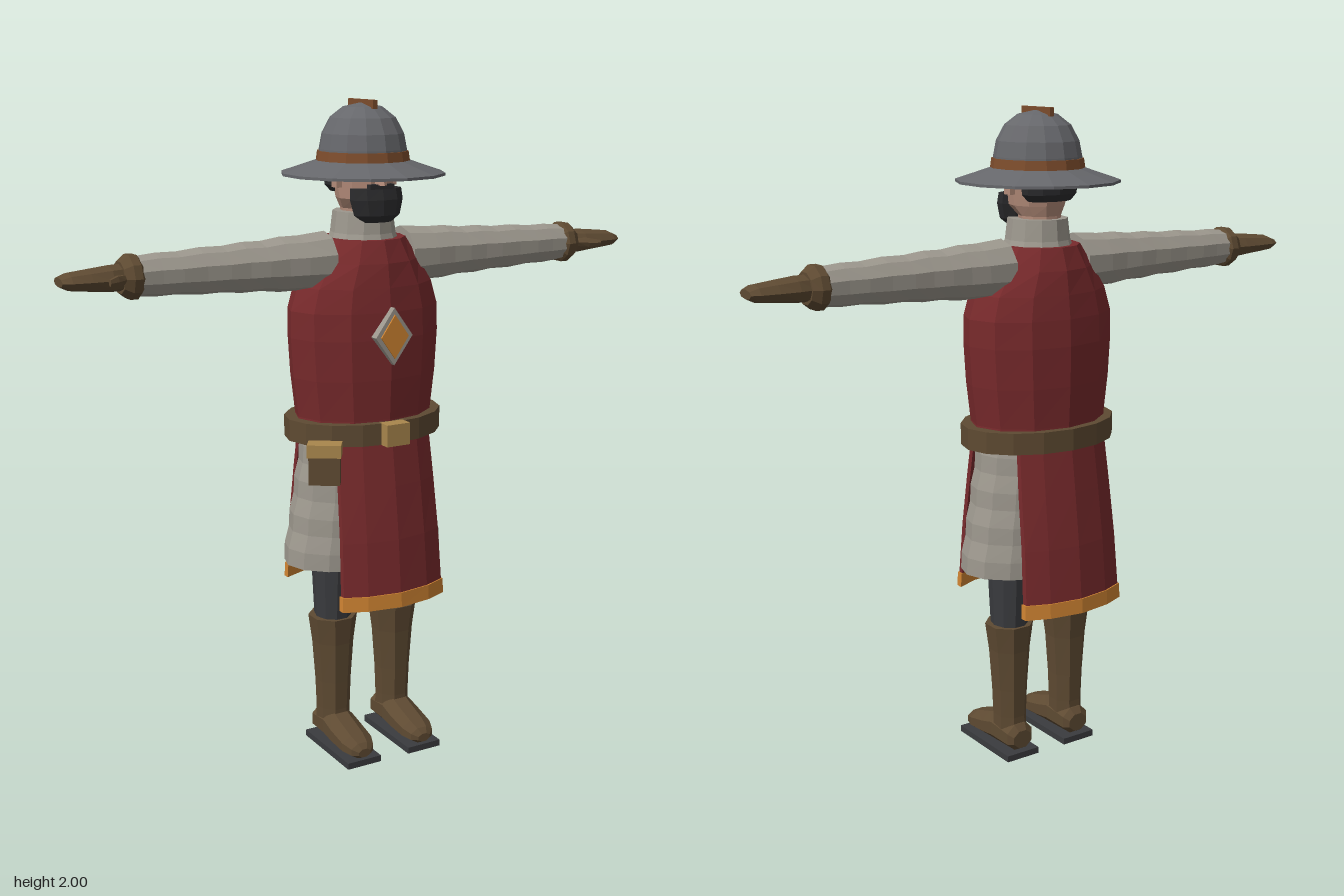
import * as THREE from 'three';

const mat = (name, color, extra = {}) => Object.assign(
  new THREE.MeshStandardMaterial({ color, flatShading: true, ...extra }), { name });

// Skin over rings of points that run counterclockwise seen from above, lowest ring first
function loft(rings, capped = true) {
  const n = rings[0].length, idx = [];
  const quad = (a, b, c, d) => idx.push(a, b, c, a, c, d);
  for (let j = 0; j < rings.length - 1; j++)
    for (let i = 0; i < n; i++) {
      const k = (i + 1) % n;
      quad(j * n + i, j * n + k, (j + 1) * n + k, (j + 1) * n + i);
    }
  const t = (rings.length - 1) * n;
  if (capped) for (let i = 0; i < n / 2 - 1; i++) {
    quad(t + i, t + i + 1, t + n - 2 - i, t + n - 1 - i);
    quad(n - 1 - i, n - 2 - i, i + 1, i);
  }
  const g = new THREE.BufferGeometry();
  g.setAttribute('position', new THREE.Float32BufferAttribute(rings.flat(2), 3));
  g.setIndex(idx);
  g.computeVertexNormals();
  return g;
}

// Elliptical ring: height, half width, half depth, centre x and z
const ellipse = (sides, phase = 0) => ([y, rx, rz, cx = 0, cz = 0]) =>
  Array.from({ length: sides }, (_, i) => {
    const a = (i + phase) / sides * Math.PI * 2;
    return [cx + Math.sin(a) * rx, y, cz + Math.cos(a) * rz];
  });
const tube = (sides, sections, phase = 0, capped = true) =>
  loft(sections.map(ellipse(sides, phase)), capped);

// Curved cloth slab ring: height, half width, outer edge z, middle z, thickness
const arc = ([y, w, zEdge, zMid, th]) => {
  const us = [-1, -0.6, 0, 0.6, 1];
  const line = d => us.map(u => [u * w, y, zMid + (zEdge - zMid) * u * u - d]);
  return [...line(0), ...line(th).reverse()];
};

export function createModel() {
  const model = new THREE.Group();
  const steel = mat('steel', 0x66676b), band = mat('rust leather', 0x7c4c2c),
    skin = mat('skin', 0xb48c7a), dark = mat('dark hair', 0x2b2b2d),
    mail = mat('mail', 0x9c978d, { side: THREE.DoubleSide }), red = mat('red cloth', 0x782a2c),
    leather = mat('brown leather', 0x5e4a32), tan = mat('tan leather', 0xa9864c),
    orange = mat('orange trim', 0xd08432), trouser = mat('dark trousers', 0x3a3b3e);
  const add = (name, geo, m, x = 0, y = 0, z = 0) => {
    const mesh = new THREE.Mesh(geo, m);
    mesh.name = name;
    mesh.position.set(x, y, z);
    model.add(mesh);
    return mesh;
  };
  const box = (w, h, d) => new THREE.BoxGeometry(w, h, d);

  // Wide brimmed helmet
  const hat = [[0.09, 1.8], [0.25, 1.785], [0.25, 1.793], [0.19, 1.812], [0.136, 1.83], [0.134, 1.86],
    [0.125, 1.905], [0.1, 1.95], [0.06, 1.98], [0, 1.993]].map(p => new THREE.Vector2(...p));
  add('helmet', new THREE.LatheGeometry(hat, 14), steel).scale.x = 0.96;
  add('helmetBand', tube(14, [[1.822, 0.138, 0.145], [1.855, 0.133, 0.14]]), band);
  add('helmetRidge', box(0.014, 0.025, 0.145), band, 0, 1.988, 0);

  // Head, hair and beard
  add('head', tube(10, [[1.6, 0.06, 0.062, 0, -0.015], [1.69, 0.062, 0.065, 0, -0.01],
    [1.72, 0.08, 0.09, 0, 0.005], [1.78, 0.088, 0.1], [1.84, 0.088, 0.1]], 0.5), skin);
  add('hair', tube(10, [[1.735, 0.072, 0.04, 0, -0.06], [1.755, 0.091, 0.052, 0, -0.06],
    [1.82, 0.093, 0.052, 0, -0.06]]), dark);
  add('beard', tube(10, [[1.655, 0.045, 0.025, 0, 0.085], [1.675, 0.073, 0.04, 0, 0.083],
    [1.72, 0.085, 0.044, 0, 0.08], [1.752, 0.083, 0.04, 0, 0.075]]), dark);
  add('moustache', box(0.08, 0.014, 0.02), dark, 0, 1.758, 0.105);
  add('nose', tube(6, [[1.762, 0.017, 0.022, 0, 0.105], [1.8, 0.01, 0.012, 0, 0.098]]), skin);
  for (const s of [-1, 1]) {
    add('ear', box(0.018, 0.045, 0.03), skin, s * 0.093, 1.775, 0.01);
    add('eye', box(0.022, 0.01, 0.006), dark, s * 0.036, 1.787, 0.094);
  }

  // Mail collar and surcoat
  add('collar', tube(12, [[1.58, 0.11, 0.115], [1.62, 0.095, 0.102], [1.682, 0.087, 0.096]]), mail);
  add('surcoat', tube(12, [[1.02, 0.225, 0.162], [1.08, 0.22, 0.162], [1.2, 0.235, 0.168],
    [1.32, 0.243, 0.17], [1.4, 0.242, 0.166], [1.47, 0.22, 0.158], [1.54, 0.17, 0.148],
    [1.605, 0.127, 0.125]]), red);

  // Chest emblem
  const diamond = (w, h, depth) => new THREE.ExtrudeGeometry(new THREE.Shape([[0, -h], [w, 0], [0, h], [-w, 0]]
    .map(p => new THREE.Vector2(...p))), { depth, bevelEnabled: false });
  add('emblemFrame', diamond(0.062, 0.085, 0.03), mail, 0, 1.332, 0.155);
  add('emblem', diamond(0.046, 0.065, 0.008), orange, 0, 1.332, 0.182);

  // Belt, buckle and pouch
  add('belt', tube(16, [[1.01, 0.252, 0.184], [1.075, 0.252, 0.184]]), leather);
  add('buckle', box(0.078, 0.066, 0.045), tan, 0, 1.043, 0.19);
  add('pouch', box(0.092, 0.09, 0.05), leather, -0.21, 0.953, 0.142).rotation.y = -0.585;
  add('pouchFlap', box(0.1, 0.038, 0.06), tan, -0.21, 1.011, 0.142).rotation.y = -0.585;

  // Rippled mail skirt
  const skirt = [];
  for (let i = 0; i <= 8; i++) {
    const t = i / 8, r = i % 2 ? 0.006 : 0;
    skirt.push([0.62 + 0.42 * t, 0.262 - 0.072 * t + r, 0.168 - 0.018 * t + r * 0.5]);
  }
  add('mailSkirt', tube(16, skirt, 0, false), mail);

  // Front and back cloth panels with trimmed hems
  for (const back of [false, true]) {
    const name = back ? 'back' : 'front';
    const panel = [[0.555, 0.172, 0.186, 0.23, 0.018], [0.72, 0.167, 0.172, 0.216, 0.018],
      [0.88, 0.162, 0.15, 0.196, 0.018], [1.03, 0.155, 0.13, 0.175, 0.018]];
    const hem = [[0.512, 0.178, 0.19, 0.236, 0.022], [0.557, 0.176, 0.188, 0.234, 0.022]];
    for (const [part, rings, m] of [['Panel', panel, red], ['Hem', hem, orange]])
      add(name + part, loft(rings.map(arc)), m).rotation.y = back ? Math.PI : 0;
  }

  for (const s of [-1, 1]) {
    // Arms are built upright, then laid out sideways
    const side = (name, sides, sections, m, phase) =>
      add(name, tube(sides, sections, phase).rotateZ(-s * Math.PI / 2), m, 0, 1.54, 0);
    side('sleeve', 10, [[0.13, 0.088, 0.09], [0.22, 0.08, 0.087], [0.28, 0.08, 0.08], [0.34, 0.072, 0.078],
      [0.4, 0.073, 0.072], [0.46, 0.066, 0.071], [0.53, 0.067, 0.066], [0.6, 0.06, 0.065],
      [0.66, 0.061, 0.06], [0.73, 0.055, 0.058]], mail, 0.5);
    side('cuff', 10, [[0.71, 0.048, 0.052], [0.722, 0.064, 0.066], [0.745, 0.064, 0.066],
      [0.768, 0.046, 0.05]], leather);
    side('glove', 8, [[0.75, 0.038, 0.043], [0.8, 0.037, 0.054, 0, 0.003], [0.86, 0.031, 0.053, 0, 0.003],
      [0.915, 0.025, 0.048, 0, 0.002], [0.94, 0.013, 0.036]], leather);
    side('thumb', 6, [[0.765, 0.014, 0.018, 0, 0.035], [0.795, 0.016, 0.016, 0, 0.06],
      [0.825, 0.01, 0.01, 0, 0.082]], leather);

    // Legs, boots and soles
    const x = s * 0.108;
    add('leg', tube(10, [[0.4, 0.055, 0.06], [0.62, 0.063, 0.075], [0.95, 0.08, 0.09]], 0.5), trouser, x);
    add('bootShaft', tube(8, [[0.06, 0.052, 0.058], [0.13, 0.052, 0.056], [0.22, 0.055, 0.06],
      [0.35, 0.065, 0.066], [0.435, 0.077, 0.075]], 0.5), leather, x);
    add('bootFoot', tube(8, [[-0.072, 0.035, 0.03, 0, -0.062], [-0.055, 0.05, 0.046, 0, -0.066],
      [0.03, 0.056, 0.056, 0, -0.074], [0.08, 0.058, 0.046, 0, -0.064], [0.15, 0.056, 0.034, 0, -0.053],
      [0.185, 0.042, 0.026, 0, -0.046], [0.2, 0.022, 0.014, 0, -0.042]], 0.5).rotateX(Math.PI / 2), leather, x);
    add('sole', box(0.116, 0.02, 0.275), trouser, x, 0.01, 0.062);
  }
  return model;
}
